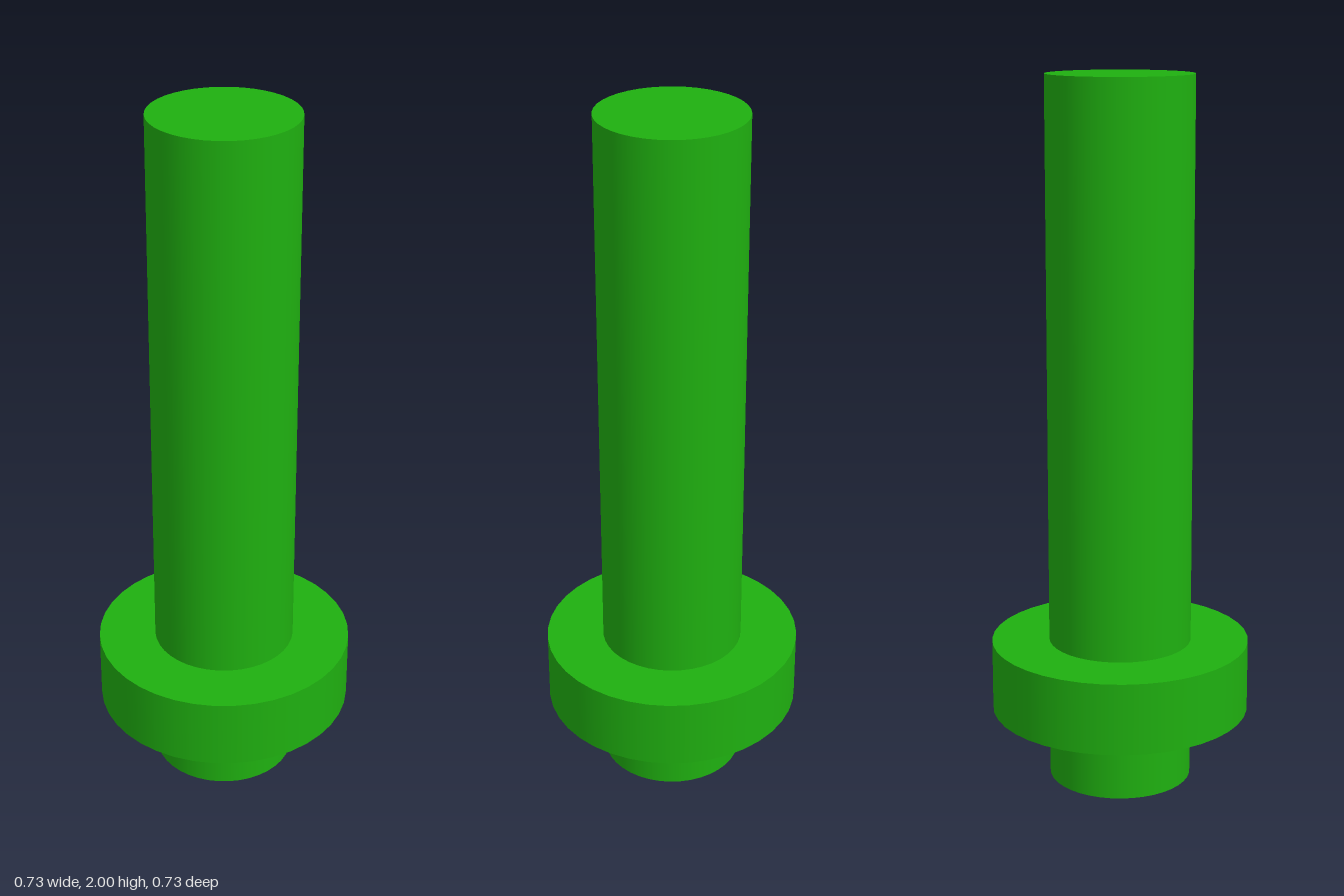
import * as THREE from 'three';

const SHAFT_RADIUS = 0.203, COLLAR_RADIUS = 0.367, SIDES = 40;

export function createModel() {
  const model = new THREE.Group();
  model.name = 'flangedPin';
  const green = new THREE.MeshStandardMaterial({ color: 0x1fb010 });

  // Capped cylinder spanning two heights
  const addCylinder = (name, radius, bottom, top) => {
    const geometry = new THREE.CylinderGeometry(radius, radius, top - bottom, SIDES);
    const mesh = new THREE.Mesh(geometry, green);
    mesh.name = name;
    mesh.position.y = (bottom + top) / 2;
    model.add(mesh);
  };

  // Long shaft running through the collar to the foot
  addCylinder('shaft', SHAFT_RADIUS, 0, 2);
  // Wide collar near the lower end
  addCylinder('collar', COLLAR_RADIUS, 0.204, 0.408);

  return model;
}
